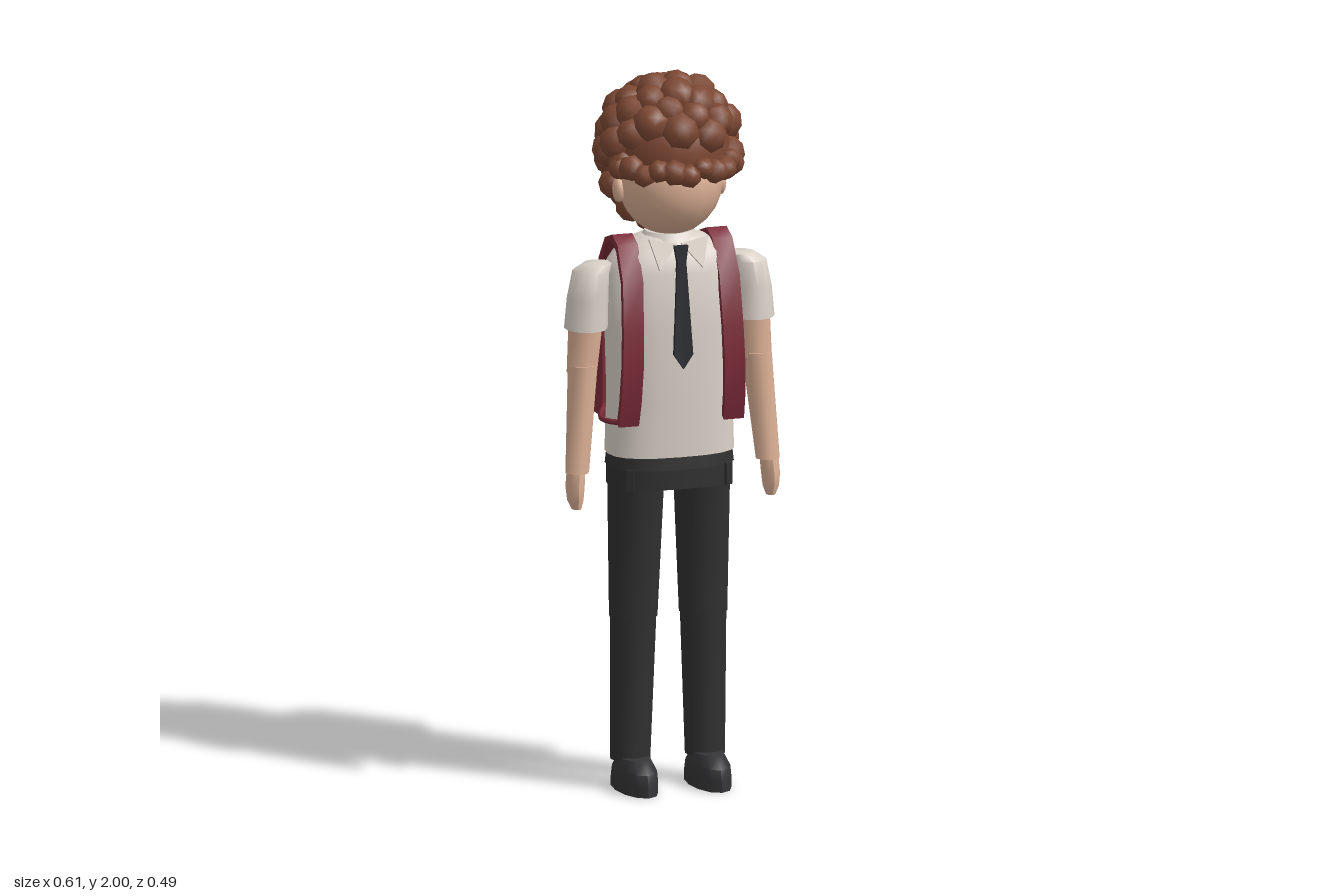
import * as THREE from 'three';
import { toCreasedNormals } from 'three/addons/utils/BufferGeometryUtils.js';

const material = (name, color) => {
  const m = new THREE.MeshStandardMaterial({ color });
  m.name = name;
  return m;
};

export function createModel() {
  const model = new THREE.Group();
  model.name = 'student';
  const skin = material('skin', 0xdcb095);
  const hair = material('hair', 0x7d4833);
  const shirt = material('shirt', 0xdbd3c9);
  const red = material('bag red', 0x7c2b38);
  const trousers = material('trousers', 0x303030);
  const tieDark = material('tie', 0x2a2b30);
  const shoeDark = material('shoe', 0x343436);

  const add = (name, geometry, mat, parent = model) => {
    const mesh = new THREE.Mesh(geometry, mat);
    mesh.name = name;
    parent.add(mesh);
    return mesh;
  };

  // Closed body through rings of [y, centre x, centre z, radius x, radius z], top first.
  // A power below 1 makes the rings squarer.
  const loft = (rings, sides = 8, power = 1) => {
    const n = rings.length - 1;
    const g = new THREE.CylinderGeometry(1, 1, 1, sides, n);
    const p = g.attributes.position;
    const round = v => Math.sign(v) * Math.abs(v) ** power;
    for (let i = 0; i < p.count; i++) {
      const [y, cx, cz, rx, rz] = rings[Math.round((0.5 - p.getY(i)) * n)];
      p.setXYZ(i, cx + rx * round(p.getX(i)), y, cz + rz * round(p.getZ(i)));
    }
    return toCreasedNormals(g, 0.9);
  };
  const ball = (name, mat, pos, radii, w = 16, h = 12) => {
    const m = add(name, new THREE.SphereGeometry(1, w, h), mat);
    m.position.set(...pos);
    m.scale.set(...radii);
    return m;
  };
  const polygon = pts => new THREE.Shape(pts.map(p => new THREE.Vector2(...p)));
  const plate = (pts, depth) =>
    new THREE.ExtrudeGeometry(polygon(pts), { depth, bevelEnabled: false });

  // Torso, belt and hips
  add('torso', loft([
    [1.545, 0, 0.025, 0.07, 0.06], [1.53, 0, 0.025, 0.115, 0.075],
    [1.5, 0, 0.028, 0.155, 0.09], [1.45, 0, 0.03, 0.19, 0.103],
    [1.3, 0, 0.03, 0.178, 0.113], [1.1, 0, 0.03, 0.172, 0.114],
    [0.94, 0, 0.03, 0.178, 0.11],
  ], 20, 0.78), shirt);
  add('waistband', loft([[0.95, 0, 0.03, 0.172, 0.108], [0.905, 0, 0.03, 0.177, 0.112]], 20, 0.78), trousers);
  add('hips', loft([[0.91, 0, 0.03, 0.174, 0.109], [0.85, 0, 0.03, 0.174, 0.109]], 20, 0.78), trousers);

  // Head, neck and ears
  add('neck', loft([[1.62, 0, 0.02, 0.055, 0.055], [1.5, 0, 0.02, 0.06, 0.06]], 12), skin);
  ball('head', skin, [0, 1.69, 0.035], [0.143, 0.147, 0.145]);

  for (const s of [1, -1]) {
    const side = s > 0 ? 'left' : 'right';
    const limb = (name, mat, rings, n) =>
      add(side + name, loft(rings.map(([y, x, ...rest]) => [y, x * s, ...rest]), n), mat);

    // Ear
    ball(side + 'Ear', skin, [s * 0.145, 1.675, 0.03], [0.018, 0.036, 0.025], 8, 6);

    // Arm
    limb('Sleeve', shirt, [[1.475, 0.205, 0.03, 0.04, 0.04], [1.455, 0.222, 0.03, 0.053, 0.055],
      [1.38, 0.234, 0.03, 0.056, 0.062], [1.295, 0.239, 0.03, 0.059, 0.064]], 10);
    limb('UpperArm', skin, [[1.32, 0.238, 0.028, 0.05, 0.045], [1.175, 0.25, 0.03, 0.044, 0.041]], 8);
    limb('Forearm', skin, [[1.195, 0.249, 0.034, 0.043, 0.04], [0.9, 0.273, 0.058, 0.034, 0.033]], 8);
    limb('Hand', skin, [[0.91, 0.276, 0.058, 0.027, 0.029], [0.86, 0.28, 0.06, 0.027, 0.036],
      [0.825, 0.28, 0.062, 0.023, 0.031], [0.8, 0.278, 0.066, 0.013, 0.018]], 8);

    // Leg and shoe
    limb('Thigh', trousers, [[0.89, 0.094, 0.025, 0.079, 0.085], [0.48, 0.1, 0.02, 0.068, 0.064]], 12);
    limb('Shin', trousers, [[0.5, 0.1, 0.02, 0.066, 0.06], [0.08, 0.107, 0.015, 0.056, 0.055]], 12);
    limb('Shoe', shoeDark, [[0.09, 0.105, 0.045, 0.04, 0.07], [0.06, 0.105, 0.047, 0.053, 0.112],
      [0.03, 0.105, 0.046, 0.055, 0.122], [0, 0.105, 0.046, 0.055, 0.124]], 12);

    // Belt loops, front and back
    for (const f of [1, -1]) {
      const loop = add(side + 'BeltLoop', new THREE.BoxGeometry(0.022, 0.06, 0.009), trousers);
      loop.position.set(s * 0.14, 0.88, 0.03 + f * 0.091);
      loop.rotation.y = s * f * 0.5;
    }

    // Collar wing
    const wing = add(side + 'CollarWing',
      plate([[s * 0.006, -0.005], [s * 0.085, 0.012], [s * 0.062, -0.075]], 0.008), shirt);
    wing.position.set(0, 1.535, 0.108);
    wing.rotation.x = -0.3;

    // Shoulder strap: side profile swept across its width, drifting outward lower down
    const strap = plate([
      [-0.08, 1.46], [-0.03, 1.53], [0.03, 1.55], [0.08, 1.53], [0.135, 1.44], [0.155, 1.3],
      [0.162, 1.2], [0.152, 1.1], [0.135, 1.035], [0.118, 1.045], [0.132, 1.1], [0.142, 1.2],
      [0.138, 1.3], [0.118, 1.43], [0.07, 1.51], [0.03, 1.533], [-0.022, 1.513], [-0.08, 1.43],
    ], 0.058).rotateY(-Math.PI / 2).translate(0.029, 0, 0);
    const p = strap.attributes.position;
    for (let i = 0; i < p.count; i++) {
      p.setX(i, p.getX(i) + s * (0.135 + (1.55 - p.getY(i)) * 0.03));
    }
    add(side + 'ShoulderStrap', toCreasedNormals(strap, 0.7), red);
    const lower = new THREE.CatmullRomCurve3([
      [0.15, 1.045, 0.13], [0.183, 1.04, 0.08], [0.186, 1.035, 0], [0.145, 1.05, -0.085],
    ].map(([x, y, z]) => new THREE.Vector3(s * x, y, z)));
    add(side + 'LowerStrap', new THREE.TubeGeometry(lower, 12, 0.008, 6), red);
  }

  // Collar band and tie
  const band = add('collarBand', loft([[1.558, 0, 0.025, 0.068, 0.066], [1.52, 0, 0.03, 0.092, 0.083]], 14), shirt);
  band.position.y = -0.004;
  const tie = plate([[-0.02, 1.53], [-0.013, 1.485], [-0.027, 1.23], [0, 1.19],
    [0.027, 1.23], [0.013, 1.485], [0.02, 1.53]], 0.012);
  const tp = tie.attributes.position;
  for (let i = 0; i < tp.count; i++) {
    tp.setZ(i, tp.getZ(i) + 0.145 - Math.max(0, tp.getY(i) - 1.23) * 0.07);
  }
  tie.computeVertexNormals();
  add('tie', tie, tieDark);

  // Backpack
  const bag = new THREE.Group();
  bag.name = 'backpack';
  model.add(bag);
  add('bagBody', new THREE.BoxGeometry(0.314, 0.39, 0.15), red, bag).position.set(0, 1.21, -0.15);
  add('bagLid', loft([[1.44, 0, -0.15, 0.125, 0.052], [1.4, 0, -0.15, 0.156, 0.074]], 10), red, bag);
  add('bagPocket', new THREE.BoxGeometry(0.24, 0.185, 0.04), red, bag).position.set(0, 1.153, -0.232);

  // Hair: skull cap and back mass under a layer of round curls
  const cap = add('hairCap', new THREE.SphereGeometry(1, 18, 8, 0, Math.PI * 2, 0, 1.7), hair);
  cap.position.set(0, 1.785, 0.03);
  cap.scale.set(0.165, 0.165, 0.163);
  ball('hairBack', hair, [0, 1.71, -0.035], [0.14, 0.14, 0.105]);

  const curlGeometry = new THREE.SphereGeometry(1, 7, 5);
  const up = new THREE.Vector3(0, 1, 0);
  const curl = (pos, dir, r) => {
    const m = add('curl', curlGeometry, hair);
    m.position.copy(pos);
    m.quaternion.setFromUnitVectors(up, dir);
    m.scale.setScalar(r);
  };
  const count = 84;
  for (let i = 0; i < count; i++) {
    const dy = 1 - (2 * i + 1) / count;
    const a = i * 2.39996 + 0.6;
    const w = Math.sqrt(1 - dy * dy);
    const d = new THREE.Vector3(Math.cos(a) * w, dy, Math.sin(a) * w);
    const low = Math.min(0, dy);
    const pos = new THREE.Vector3(0.16 * d.x, 1.79 + (dy > 0 ? 0.157 : 0.21) * dy, 0.02 + 0.152 * d.z + 0.06 * low);
    const back = pos.z < (pos.y > 1.74 ? 0.08 : -0.01);
    if (pos.y > 1.83 || back) curl(pos, d, 0.051 + 0.005 * Math.sin(i * 2.7) + 0.008 * low);
  }

  // Fringe of smaller curls over the forehead
  for (let i = 0; i < 11; i++) {
    const a = (i - 5) * 0.245;
    const d = new THREE.Vector3(Math.sin(a), 0, Math.cos(a));
    curl(new THREE.Vector3(0.17 * d.x, 1.75 + 0.01 * Math.sin(i * 2.3), 0.03 + 0.175 * d.z), d,
      0.034 + 0.003 * Math.sin(i * 1.9));
  }
  return model;
}
